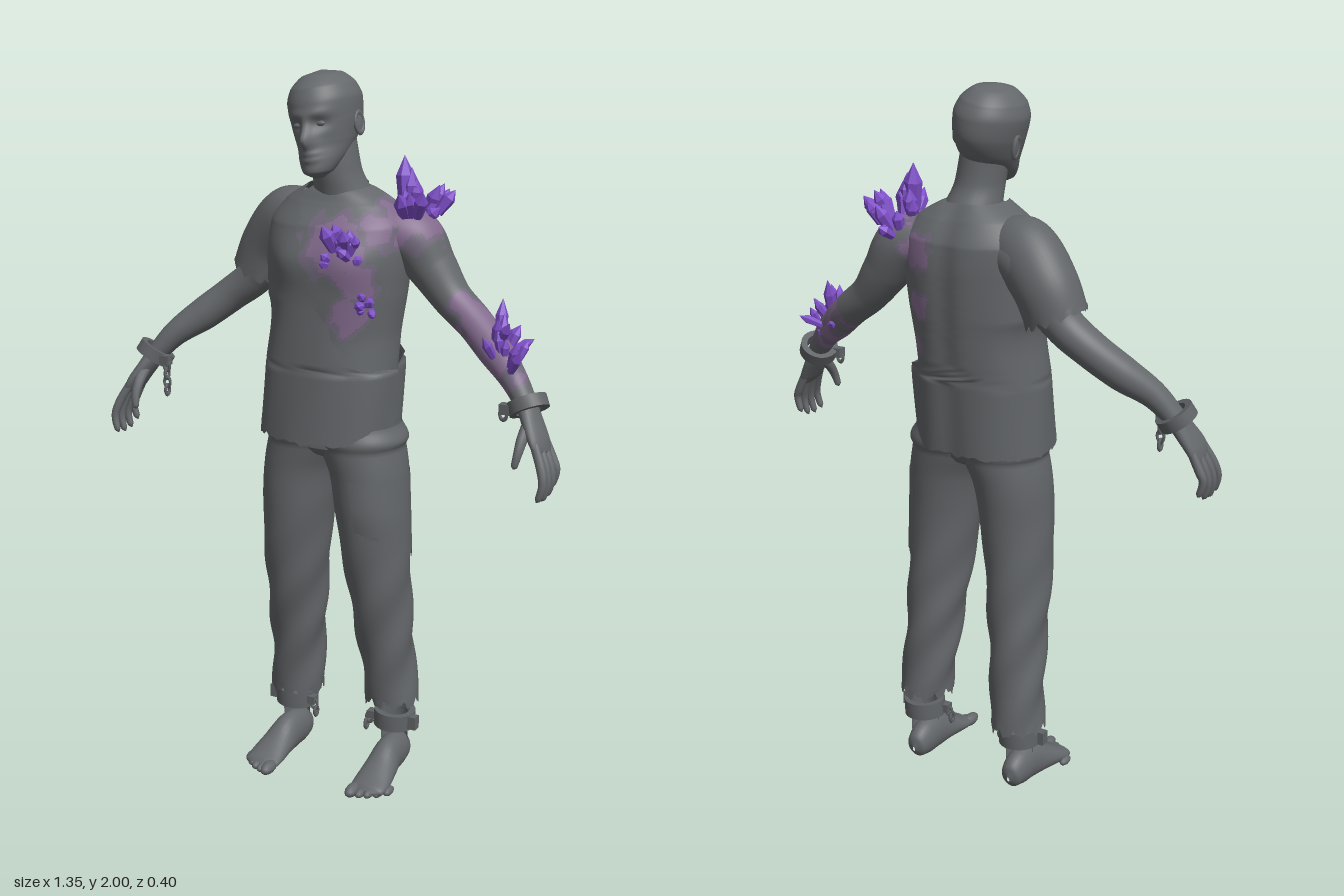
import * as THREE from 'three';
import { toCreasedNormals } from 'three/addons/utils/BufferGeometryUtils.js';

const V = (x, y, z) => new THREE.Vector3(x, y, z);
const gauss = (d, s) => Math.exp(-(d * d) / (2 * s * s));
const mat = (name, color, side = THREE.FrontSide) => {
  const m = new THREE.MeshStandardMaterial({ color, side });
  m.name = name;
  return m;
};

// Linear lookup in a short table of [key, value] pairs
function lookup(table, k) {
  for (let i = 1; i < table.length; i++) {
    const [a, b] = [table[i - 1], table[i]];
    if (k <= b[0]) return a[1] + (b[1] - a[1]) * Math.max(0, (k - a[0]) / (b[0] - a[0]));
  }
  return table[table.length - 1][1];
}

// Smooth skin through elliptical sections [x, y, z, radiusA, radiusB]
function loft(rows, { s = 1, segs = 24, rings = 30, flat = false, ref = V(0, 0, 1), power = 1, arc, warp } = {}) {
  const path = new THREE.CatmullRomCurve3(rows.map(r => V(r[0] * s, r[1], r[2])));
  const radii = new THREE.CatmullRomCurve3(rows.map(r => V(r[3], r[4], 0)));
  const cols = arc ? segs + 1 : segs, pos = [], idx = [];
  const round = c => Math.sign(c) * Math.abs(c) ** power;
  for (let i = 0; i <= rings; i++) {
    const u = i / rings, c = path.getPoint(u), r = radii.getPoint(u);
    const T = flat ? V(0, 1, 0) : path.getTangent(u);
    const B = ref.clone().addScaledVector(T, -ref.dot(T)).normalize();
    const A = T.clone().cross(B);
    const [t0, t1] = arc ? arc(c, r) : [0, Math.PI * 2];
    for (let j = 0; j < cols; j++) {
      const t = t0 + (t1 - t0) * j / segs;
      const p = c.clone().addScaledVector(A, r.x * round(Math.cos(t))).addScaledVector(B, r.y * round(Math.sin(t)));
      if (warp) warp(p, t, u);
      pos.push(p.x, p.y, p.z);
    }
  }
  for (let i = 0; i < rings; i++) for (let j = 0; j < segs; j++) {
    const k = (j + 1) % cols, a = i * cols + j, b = a + cols, c = i * cols + k, d = c + cols;
    idx.push(a, b, c, b, d, c);
  }
  const g = new THREE.BufferGeometry();
  g.setAttribute('position', new THREE.Float32BufferAttribute(pos, 3));
  g.setIndex(idx);
  g.computeVertexNormals();
  return g;
}

// Stained skin areas: centre and radius
const STAINS = [[0.05, 1.56, 0.12, 0.1], [0.1, 1.37, 0.12, 0.065], [0.2, 1.62, -0.05, 0.1], [0.12, 1.46, 0.11, 0.06], [0.15, 1.6, 0.05, 0.06],
  [0.47, 1.29, -0.02, 0.09], [0.41, 1.35, -0.05, 0.075], [0.35, 1.4, -0.05, 0.045], [0.1, 1.42, -0.17, 0.05], [0.1, 1.57, -0.17, 0.06],
  [0.13, 1.3, -0.14, 0.035], [0.53, 1.23, 0.01, 0.045]];

// Sort faces into clean, faint and stained groups
function stain(g) {
  const p = g.attributes.position, src = g.index.array, sets = [[], [], []];
  for (let i = 0; i < src.length; i += 3) {
    const c = V(0, 0, 0);
    for (let k = 0; k < 3; k++) c.add(V(p.getX(src[i + k]), p.getY(src[i + k]), p.getZ(src[i + k])));
    c.divideScalar(3);
    const wob = 0.2 * Math.sin(c.x * 90 + c.z * 40) * Math.sin(c.y * 75 + c.z * 60);
    const depth = Math.max(...STAINS.map(([x, y, z, r]) => 1 - c.distanceTo(V(x, y, z)) / r)) + wob;
    sets[depth > 0.22 ? 2 : depth > 0 ? 1 : 0].push(src[i], src[i + 1], src[i + 2]);
  }
  g.setIndex(sets.flat());
  let start = 0;
  sets.forEach((set, i) => { g.addGroup(start, set.length, i); start += set.length; });
  return g;
}

export function createModel() {
  const model = new THREE.Group();
  const skin = mat('skin grey', 0x65686b), cloth = mat('cloth grey', 0x626568, THREE.DoubleSide), iron = mat('iron grey', 0x606366);
  const purple = mat('crystal purple', 0x7f4fc9), stained = mat('stained skin', 0x826a8c), faint = mat('faintly stained skin', 0x70677a);
  const add = (name, geo, m, parent = model) => {
    const mesh = new THREE.Mesh(geo, m);
    mesh.name = name;
    parent.add(mesh);
    return mesh;
  };

  // Torso and the torn shirt hanging from the right shoulder
  const chest = p => {
    if (p.z > 0) for (const x of [-0.085, 0.085]) p.z += 0.014 * gauss(p.x - x, 0.05) * gauss(p.y - 1.51, 0.045);
    if (p.z < -0.05) p.z += 0.01 * gauss(p.x, 0.025);
  };
  add('torso', stain(loft([[0, 1, 0, 0.16, 0.125], [0, 1.2, -0.01, 0.165, 0.135], [0, 1.3, -0.02, 0.168, 0.14],
    [0, 1.42, -0.025, 0.185, 0.15], [0, 1.52, -0.03, 0.195, 0.15], [0, 1.6, -0.04, 0.19, 0.135],
    [0, 1.655, -0.045, 0.145, 0.1], [0, 1.69, -0.04, 0.085, 0.075], [0, 1.71, -0.035, 0.03, 0.03]],
    { segs: 120, rings: 120, flat: true, power: 0.9, warp: chest })), [skin, faint, stained]);
  const frontCut = [[1.2, 0.25], [1.235, 0.095], [1.39, 0.01], [1.55, -0.04], [1.7, -0.085]];
  const backCut = [[1.2, 0.25], [1.27, 0.08], [1.4, 0.05], [1.7, 0.02]];
  add('tornShirt', loft([[-0.02, 1.02, 0, 0.195, 0.163], [-0.012, 1.2, -0.01, 0.195, 0.163], [-0.008, 1.4, -0.025, 0.195, 0.163],
    [0, 1.52, -0.03, 0.205, 0.163], [0, 1.6, -0.04, 0.202, 0.148], [0, 1.66, -0.045, 0.16, 0.112], [0, 1.7, -0.04, 0.095, 0.087]], {
    segs: 72, rings: 90, flat: true, power: 0.9,
    arc: (c, r) => {
      const jag = c.y > 1.28 ? 0.006 * Math.sin(c.y * 90) + 0.003 * Math.sin(c.y * 230) : 0;
      const at = cut => Math.acos(Math.max(-1, Math.min(1, (lookup(cut, c.y) + jag - c.x) / r.x)));
      return [at(frontCut), Math.PI * 2 - at(backCut)];
    },
    warp: (p, t, u) => {
      chest(p);
      const fold = 1 + 0.012 * Math.sin(7 * t + p.y * 9) * (1 - u);
      p.x *= fold; p.z *= fold;
      if (u < 0.03) p.y += 0.008 * Math.sin(9 * t) * Math.sin(23 * t);
    } }), cloth);
  add('shirtSleeve', loft([[-0.09, 1.61, -0.05, 0.06, 0.07], [-0.18, 1.58, -0.07, 0.095, 0.085], [-0.25, 1.51, -0.088, 0.088, 0.086], [-0.287, 1.425, -0.088, 0.086, 0.08]],
    { segs: 40, warp: (p, t, u) => { if (u > 0.96) p.y += 0.012 * Math.sin(8 * t) * Math.sin(19 * t); } }), cloth);

  // Neck and tilted head
  add('neck', loft([[0.01, 1.6, -0.05, 0.1, 0.085], [0, 1.68, -0.037, 0.078, 0.08], [-0.01, 1.74, -0.018, 0.066, 0.073], [-0.025, 1.84, -0.01, 0.064, 0.073]], { flat: true }), skin);
  const head = new THREE.Group();
  head.name = 'head';
  head.position.set(-0.014, 1.74, 0);
  head.rotation.z = 0.15;
  model.add(head);
  const face = p => {
    if (p.z < 0.02) return;
    const x = Math.abs(p.x), y = p.y + 1.74;
    p.z += 0.007 * gauss(x - 0.03, 0.025) * gauss(y - 1.893, 0.01) - 0.012 * gauss(x - 0.034, 0.018) * gauss(y - 1.868, 0.013)
      + 0.026 * gauss(x, 0.011) * gauss(y - 1.828, 0.016) + 0.014 * gauss(x, 0.009) * gauss(y - 1.858, 0.02)
      + 0.006 * gauss(x, 0.02) * (gauss(y - 1.793, 0.006) + gauss(y - 1.777, 0.006)) - 0.008 * gauss(x - 0.05, 0.014) * gauss(y - 1.81, 0.025);
  };
  add('skull', loft([[0, -0.012, 0.075, 0.012, 0.014], [0, 0.004, 0.07, 0.038, 0.05], [0, 0.04, 0.04, 0.06, 0.078], [0, 0.08, 0.008, 0.075, 0.106],
    [0, 0.13, -0.008, 0.088, 0.119], [0, 0.18, -0.01, 0.094, 0.119], [0, 0.22, -0.01, 0.082, 0.103], [0, 0.25, -0.012, 0.05, 0.065], [0, 0.261, -0.012, 0.001, 0.001]],
    { segs: 72, rings: 88, flat: true, warp: face }), skin, head);
  for (const s of [-1, 1]) {
    const eye = add('eye', new THREE.SphereGeometry(0.013, 14, 10), skin, head);
    eye.scale.set(1, 0.55, 0.6);
    eye.position.set(s * 0.034, 0.128, 0.09);
    const ear = new THREE.Group();
    ear.name = 'ear';
    add('earRim', new THREE.TorusGeometry(0.019, 0.006, 8, 18), skin, ear).scale.set(0.85, 1.4, 1);
    add('earBowl', new THREE.SphereGeometry(0.019, 12, 8), skin, ear).scale.set(0.85, 1.4, 0.25);
    ear.position.set(s * 0.088, 0.115, -0.018);
    ear.rotation.y = s * 1.4;
    head.add(ear);
  }

  // Iron cuff with lock and hanging chain
  function shackle(name, at, r, h, axis, lock, links, step) {
    const g = new THREE.Group();
    g.name = name;
    const i = r - 0.018;
    const prof = [[i, -h], [r, -h], [r, h], [i, h], [i, -h]].map(([a, b]) => new THREE.Vector2(a, b / 2));
    const q = new THREE.Quaternion().setFromUnitVectors(V(0, 1, 0), axis.normalize());
    add('cuff', toCreasedNormals(new THREE.LatheGeometry(prof, 24), 0.6), iron, g).quaternion.copy(q);
    const side = lock.clone().normalize();
    add('lock', new THREE.BoxGeometry(0.03, h * 0.8, 0.026), iron, g).position.copy(side).multiplyScalar(r + 0.004);
    for (let k = 0; k < links; k++) {
      const link = add('chainLink', new THREE.TorusGeometry(0.01, 0.0045, 6, 14), iron, g);
      link.scale.y = 1.4;
      link.rotation.y = k * Math.PI / 2;
      link.position.copy(side).multiplyScalar(r + 0.01).addScaledVector(step, k + 0.6);
    }
    g.position.copy(at);
    model.add(g);
  }

  for (const s of [-1, 1]) {
    const side = s > 0 ? 'left' : 'right';
    // Arm
    add(side + 'Arm', stain(loft([[0.11, 1.585, -0.05, 0.07, 0.08], [0.185, 1.565, -0.075, 0.08, 0.085], [0.245, 1.485, -0.085, 0.066, 0.07],
      [0.305, 1.41, -0.082, 0.053, 0.056], [0.375, 1.355, -0.07, 0.049, 0.052], [0.45, 1.295, -0.038, 0.047, 0.048],
      [0.525, 1.235, 0.005, 0.036, 0.038], [0.58, 1.17, 0.032, 0.027, 0.033]], { s, segs: 48, rings: 110 })), [skin, faint, stained]);
    // Hand with curled fingers
    add(side + 'Palm', loft([[0.57, 1.185, 0.028, 0.026, 0.033], [0.597, 1.14, 0.045, 0.023, 0.044], [0.624, 1.095, 0.062, 0.02, 0.05],
      [0.637, 1.068, 0.068, 0.013, 0.044], [0.64, 1.06, 0.07, 0.001, 0.002]], { s }), skin);
    for (let i = 0; i < 4; i++) {
      const d = -0.039 + 0.026 * i, low = [0.02, 0.004, 0, 0.006][i];
      add(side + 'Finger', loft([[0.625, 1.095, 0.062 + d * 0.9, 0.012, 0.012], [0.652, 1.04, 0.072 + d * 1.1, 0.0125, 0.0125],
        [0.662, 0.995 + low, 0.078 + d * 1.2, 0.011, 0.011], [0.653, 0.957 + low, 0.08 + d * 1.25, 0.009, 0.009], [0.648, 0.947 + low, 0.08 + d * 1.25, 0.001, 0.001]],
        { s, segs: 10, rings: 16 }), skin);
    }
    add(side + 'Thumb', loft([[0.593, 1.14, 0.06, 0.016, 0.018], [0.592, 1.105, 0.1, 0.015, 0.015], [0.59, 1.07, 0.122, 0.012, 0.012],
      [0.585, 1.04, 0.13, 0.009, 0.009], [0.583, 1.033, 0.131, 0.001, 0.001]], { s, segs: 10, rings: 16 }), skin);
    shackle(side + 'WristShackle', V(s * 0.578, 1.178, 0.032), 0.054, 0.034, V(s * 0.45, -0.85, 0.3), V(-s, -0.2, 0.5), s > 0 ? 1 : 4, V(0, -0.024, 0));

    // Trouser leg with folds and a ragged hem
    const hem = (p, t, u) => {
      const k = 0.005 * Math.sin(3 * t + p.y * 30) * gauss(p.y - 0.4, 0.2);
      p.x += k * Math.cos(t); p.z += k * Math.sin(t);
      if (u < 0.03) p.y += 0.022 * Math.sin(7 * t + s) * Math.sin(17 * t);
    };
    add(side + 'TrouserLeg', loft([[0.156, s > 0 ? 0.225 : 0.195, -0.05, 0.077, 0.08], [0.15, 0.3, -0.042, 0.076, 0.08], [0.14, 0.45, -0.025, 0.08, 0.09],
      [0.131, 0.6, -0.005, 0.088, 0.102], [0.116, 0.8, 0.007, 0.1, 0.115], [0.103, 0.92, 0.003, 0.108, 0.122], [0.078, 1.0, 0, 0.12, 0.128], [0.065, 1.06, 0, 0.12, 0.128]],
      { s, segs: 48, rings: 60, flat: true, warp: hem }), cloth);

    // Ankle, foot and toes
    add(side + 'Ankle', loft([[0.155, 0.36, -0.045, 0.05, 0.055], [0.16, 0.2, -0.05, 0.04, 0.045], [0.163, 0.11, -0.05, 0.037, 0.045], [0.163, 0.04, -0.05, 0.035, 0.045]], { s, flat: true }), skin);
    add(side + 'Foot', loft([[0.163, 0.04, -0.112, 0.004, 0.008], [0.163, 0.043, -0.1, 0.028, 0.036], [0.163, 0.054, -0.06, 0.038, 0.055], [0.165, 0.056, -0.005, 0.04, 0.058],
      [0.17, 0.04, 0.055, 0.048, 0.041], [0.173, 0.024, 0.115, 0.054, 0.025], [0.173, 0.018, 0.145, 0.051, 0.018], [0.173, 0.016, 0.158, 0.03, 0.008]],
      { s, segs: 28, ref: V(0, 1, 0), warp: p => { p.y = Math.max(0, p.y); } }), skin);
    for (let i = 0; i < 5; i++) {
      const toe = add(side + 'Toe', new THREE.SphereGeometry(i ? 0.0125 : 0.018, 12, 8), skin);
      toe.scale.z = 2;
      toe.position.set(s * (i ? 0.14 + 0.0215 * i : 0.138), i ? 0.0125 : 0.018, 0.162 - 0.0032 * i * i);
    }
    shackle(side + 'AnkleShackle', V(s * 0.163, 0.163, -0.05), 0.06, 0.048, V(0.04, 1, 0), V(s, 0, 0.2), 0, V(0, 0, 0));
    shackle(side + 'AnkleChain', V(s * 0.163, 0.163, -0.05), 0.059, 0.03, V(0, 1, 0), V(-s, 0, 0.3), 2, V(-s * 0.008, -0.02, 0.003));
  }
  add('trouserSeat', loft([[0, 0.95, 0, 0.03, 0.04], [0, 0.975, 0, 0.1, 0.1], [-0.01, 1.01, 0, 0.175, 0.125], [-0.012, 1.09, 0, 0.18, 0.135]], { flat: true, segs: 40 }), cloth);
  // Loose torn layer on the outer left thigh
  add('tornTrouserLayer', loft([[0.124, 0.7, 0.003, 0.1, 0.113], [0.116, 0.8, 0.007, 0.105, 0.12], [0.103, 0.92, 0.003, 0.11, 0.124]],
    { segs: 40, rings: 20, flat: true, arc: () => [-1.3, 1.6],
      warp: (p, t, u) => { p.y += (1 - u) * (0.05 * Math.sin(t) + (u < 0.06 ? 0.012 * Math.sin(13 * t) : 0)); } }), cloth);

  // Crystal clusters: six-sided shards set along a line and fanned around a main direction
  let seed = 7;
  const rnd = () => (seed = (seed * 16807) % 2147483647) / 2147483647;
  function cluster(name, from, to, dir, count, length, radius, spread, area) {
    const g = new THREE.Group();
    g.name = name;
    for (let i = 0; i < count; i++) {
      const k = i < 3 ? 1 - 0.15 * i : 0.35 + 0.35 * rnd(), L = length * k, r = radius * (0.45 + 0.55 * k);
      const prof = [[0.001, 0], [r * 0.75, 0], [r, L * 0.65], [0.0005, L]].map(([a, b]) => new THREE.Vector2(a, b));
      const geo = new THREE.LatheGeometry(prof, 6).toNonIndexed();
      geo.computeVertexNormals();
      const w = V(rnd() - 0.5, rnd() - 0.5, rnd() - 0.5), f = i < 3 ? 0.5 : 1;
      const shard = add('shard', geo, purple, g);
      shard.quaternion.setFromUnitVectors(V(0, 1, 0), dir.clone().normalize().addScaledVector(w, spread * 2 * f).normalize());
      shard.position.lerpVectors(from, to, i < 3 ? 0.2 + 0.25 * i : rnd()).add(w.multiply(area).multiplyScalar(f));
    }
    model.add(g);
  }
  cluster('shoulderCrystals', V(0.21, 1.63, -0.03), V(0.19, 1.61, -0.12), V(0.3, 1, 0.05), 20, 0.15, 0.025, 0.8, V(0.11, 0.03, 0.08));
  cluster('chestCrystals', V(0.055, 1.535, 0.115), V(0.1, 1.545, 0.105), V(0, 1, 0.5), 13, 0.08, 0.02, 0.7, V(0.05, 0.06, 0.02));
  cluster('ribCrystals', V(0.12, 1.41, 0.1), V(0.15, 1.4, 0.08), V(0.3, 0.3, 0.8), 9, 0.05, 0.014, 0.7, V(0.04, 0.04, 0.02));
  cluster('forearmCrystals', V(0.455, 1.31, -0.05), V(0.515, 1.255, 0.0), V(0.15, 1, -0.15), 18, 0.125, 0.017, 0.75, V(0.04, 0.04, 0.08));
  return model;
}
